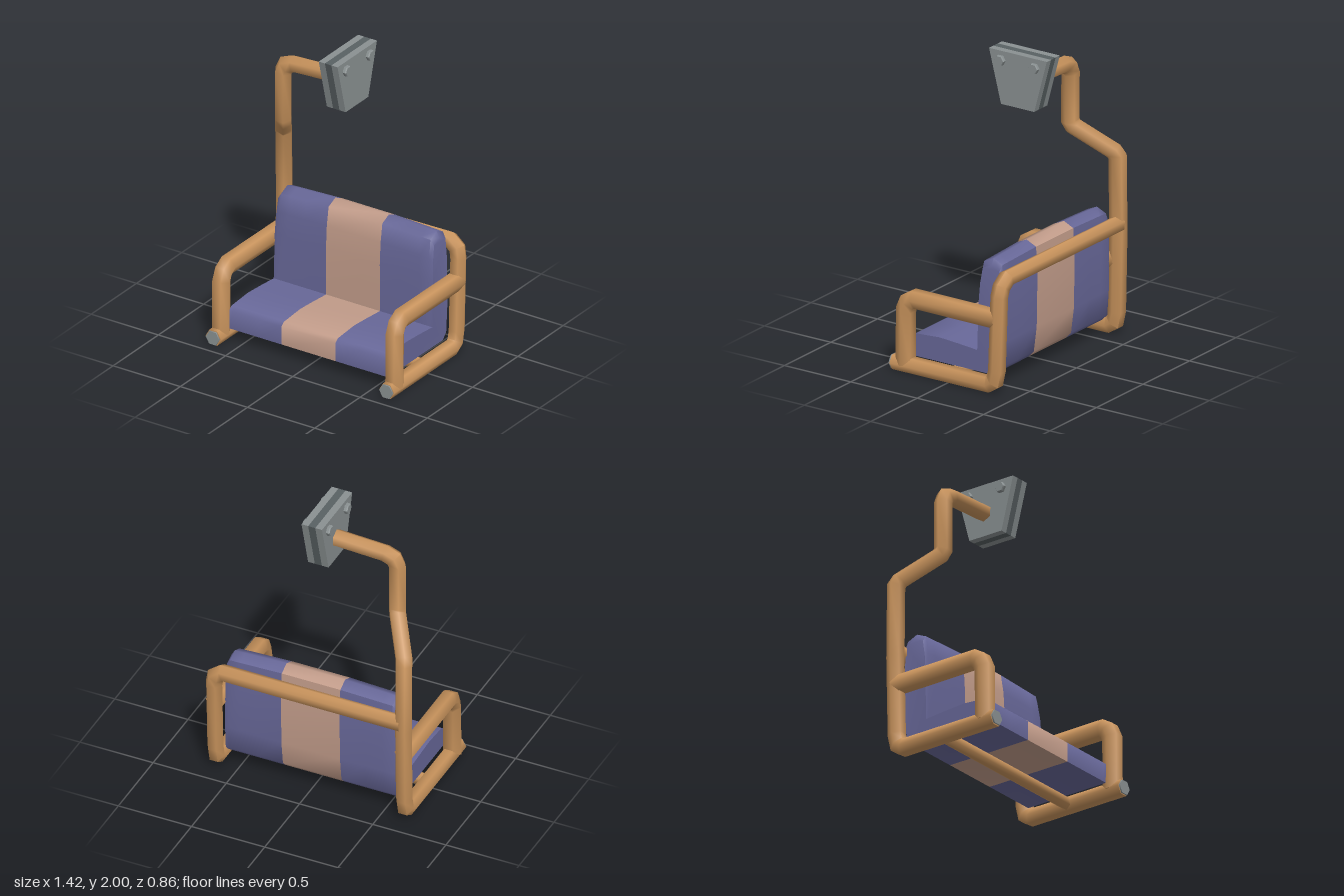
import * as THREE from 'three';
import { toCreasedNormals } from 'three/addons/utils/BufferGeometryUtils.js';

const mat = (color) => new THREE.MeshStandardMaterial({ color });
const V = (p) => new THREE.Vector3(...p);

// Six-sided pipe with mitred corners through a list of points
function pipeGeometry(points, radius, sides = 6) {
  const pts = points.map(V);
  const dirs = pts.slice(1).map((p, i) => p.clone().sub(pts[i]).normalize());
  const u = Math.abs(dirs[0].x) > 0.9 ? V([0, 1, 0]) : V([1, 0, 0]);
  const v = dirs[0].clone().cross(u).normalize();
  u.crossVectors(v, dirs[0]);
  let ring = [];
  for (let k = 0; k < sides; k++) {
    const a = (k / sides) * Math.PI * 2;
    ring.push(pts[0].clone().addScaledVector(u, radius * Math.cos(a)).addScaledVector(v, radius * Math.sin(a)));
  }
  const verts = [...ring], index = [];
  for (let i = 1; i < pts.length; i++) {
    const d = dirs[i - 1];
    const n = d.clone().add(dirs[i] ?? d).normalize();
    ring = ring.map((q) => q.clone().addScaledVector(d, pts[i].clone().sub(q).dot(n) / d.dot(n)));
    verts.push(...ring);
    for (let k = 0; k < sides; k++) {
      const a = (i - 1) * sides + k, b = (i - 1) * sides + ((k + 1) % sides);
      index.push(a, b, a + sides, b, b + sides, a + sides);
    }
  }
  const last = (pts.length - 1) * sides;
  for (let k = 1; k < sides - 1; k++) {
    index.push(0, k + 1, k, last, last + k, last + k + 1);
  }
  const g = new THREE.BufferGeometry().setFromPoints(verts);
  g.setIndex(index);
  return toCreasedNormals(g, 1.2);
}

// Side outline of the padded bench as [z, y]
const benchProfile = [
  [0.325, 0.09], [0.328, 0.215], [0.3, 0.238], [0.12, 0.25], [-0.03, 0.24], [-0.165, 0.228],
  [-0.163, 0.55], [-0.172, 0.7], [-0.192, 0.825], [-0.265, 0.857], [-0.335, 0.825],
  [-0.346, 0.65], [-0.34, 0.3], [-0.318, 0.13], [-0.28, 0.09],
];

// One length of bench between x0 and x1, softened towards its outer end
function benchGeometry(x0, x1, steps) {
  const shape = new THREE.Shape(benchProfile.map(([z, y]) => new THREE.Vector2(-z, y)));
  const g = new THREE.ExtrudeGeometry(shape, { depth: x1 - x0, steps, bevelEnabled: false });
  g.rotateY(Math.PI / 2).translate(x0, 0, 0);
  const p = g.attributes.position;
  for (let i = 0; i < p.count; i++) {
    let x = p.getX(i), y = p.getY(i), z = p.getZ(i);
    const t = (Math.abs(x) - 0.2) / 0.385;
    if (t > 0.001) {
      const s = 1 - (1 - t) ** 2;
      const high = Math.max(0, (y - 0.5) / 0.36);
      const end = t > 0.99 ? 1 : 0;
      x = Math.sign(x) * (0.2 + 0.39 * s - 0.012 * high * s);
      y -= high * (0.015 * s + 0.04 * end);
      if (y > 0.28) z += (-0.255 - z) * (0.04 * s + 0.08 * end);
      p.setXYZ(i, x, y, z);
    }
  }
  return toCreasedNormals(g, 1.05);
}

export function createModel() {
  const model = new THREE.Group();
  const wood = mat(0xc8935c), blue = mat(0x686899), tan = mat(0xc29c8a);
  const steel = mat(0x8a9192), darkSteel = mat(0x596163);
  const add = (name, geometry, material, parent = model) => {
    const m = new THREE.Mesh(geometry, material);
    m.name = name;
    parent.add(m);
    return m;
  };

  // Padded bench in three colour panels
  const bench = new THREE.Group();
  bench.name = 'bench';
  model.add(bench);
  add('benchCentre', benchGeometry(-0.2, 0.2, 1), tan, bench);
  add('benchLeft', benchGeometry(0.2, 0.585, 4), blue, bench);
  add('benchRight', benchGeometry(-0.585, -0.2, 4), blue, bench);

  // Bottom rail turning up into the back upright, shared by both sides
  const rail = (x) => [[x, 0.05, 0.42], [x, 0.05, -0.295], [x, 0.075, -0.335], [x, 0.15, -0.352]];

  // Hanger: right rail, back upright and cranked pole up to the clamp
  add('hangerPole', pipeGeometry([
    ...rail(-0.645), [-0.645, 0.68, -0.363], [-0.645, 1.165, -0.357], [-0.635, 1.2, -0.335],
    [-0.495, 1.365, -0.13], [-0.485, 1.4, -0.113], [-0.485, 1.72, -0.115],
    [-0.463, 1.768, -0.115], [-0.405, 1.791, -0.116], [0, 1.81, -0.117],
  ], 0.057), wood);

  // Left rail, back upright and bar across the back
  add('leftFrame', pipeGeometry([
    ...rail(0.645), [0.645, 0.64, -0.37],
    [0.633, 0.7, -0.377], [0.58, 0.742, -0.38], [-0.635, 0.73, -0.37],
  ], 0.055), wood);

  // Bar beneath the seat
  add('underSeatBar', pipeGeometry([[-0.635, 0.05, 0], [0.635, 0.05, 0]], 0.043), wood);

  // Armrests and rail end caps
  for (const [side, s] of [['left', 1], ['right', -1]]) {
    const x = s * 0.645;
    add(side + 'Armrest', pipeGeometry([
      [x, 0.05, 0.336], [x, 0.41, 0.332], [x, 0.465, 0.308], [x, 0.491, 0.265], [x, 0.488, -0.36],
    ], 0.063), wood);
    add(side + 'RailCap', pipeGeometry([[x, 0.05, 0.43], [x, 0.05, 0.418]], 0.05), steel);
  }

  // Three-layer tapered clamp
  const clamp = new THREE.Group();
  clamp.name = 'clamp';
  model.add(clamp);
  const plate = new THREE.Shape([[-0.11, 2], [-0.02, 1.65], [0.23, 1.65], [0.325, 2]]
    .map(([a, b]) => new THREE.Vector2(a, b)));
  for (const [name, x0, x1, m] of [
    ['clampRightPlate', -0.07, -0.024, steel],
    ['clampCore', -0.024, 0.024, darkSteel],
    ['clampLeftPlate', 0.024, 0.07, steel],
  ]) {
    const g = new THREE.ExtrudeGeometry(plate, { depth: x1 - x0, bevelEnabled: false });
    add(name, g.rotateY(Math.PI / 2).translate(x0, 0, 0), m, clamp);
  }

  // Hex bolt heads on both faces
  const head = toCreasedNormals(new THREE.LatheGeometry(
    [[0.035, -0.01], [0.035, 0.016], [0.031, 0.024], [0, 0.024]]
      .map(([r, h]) => new THREE.Vector2(r, h)), 6), 0.3);
  for (const z of [0.02, -0.235]) {
    for (const s of [1, -1]) {
      const bolt = add('bolt', head, steel, clamp);
      bolt.position.set(s * 0.07, 1.94, z);
      bolt.rotation.z = -s * Math.PI / 2;
    }
  }
  return model;
}
